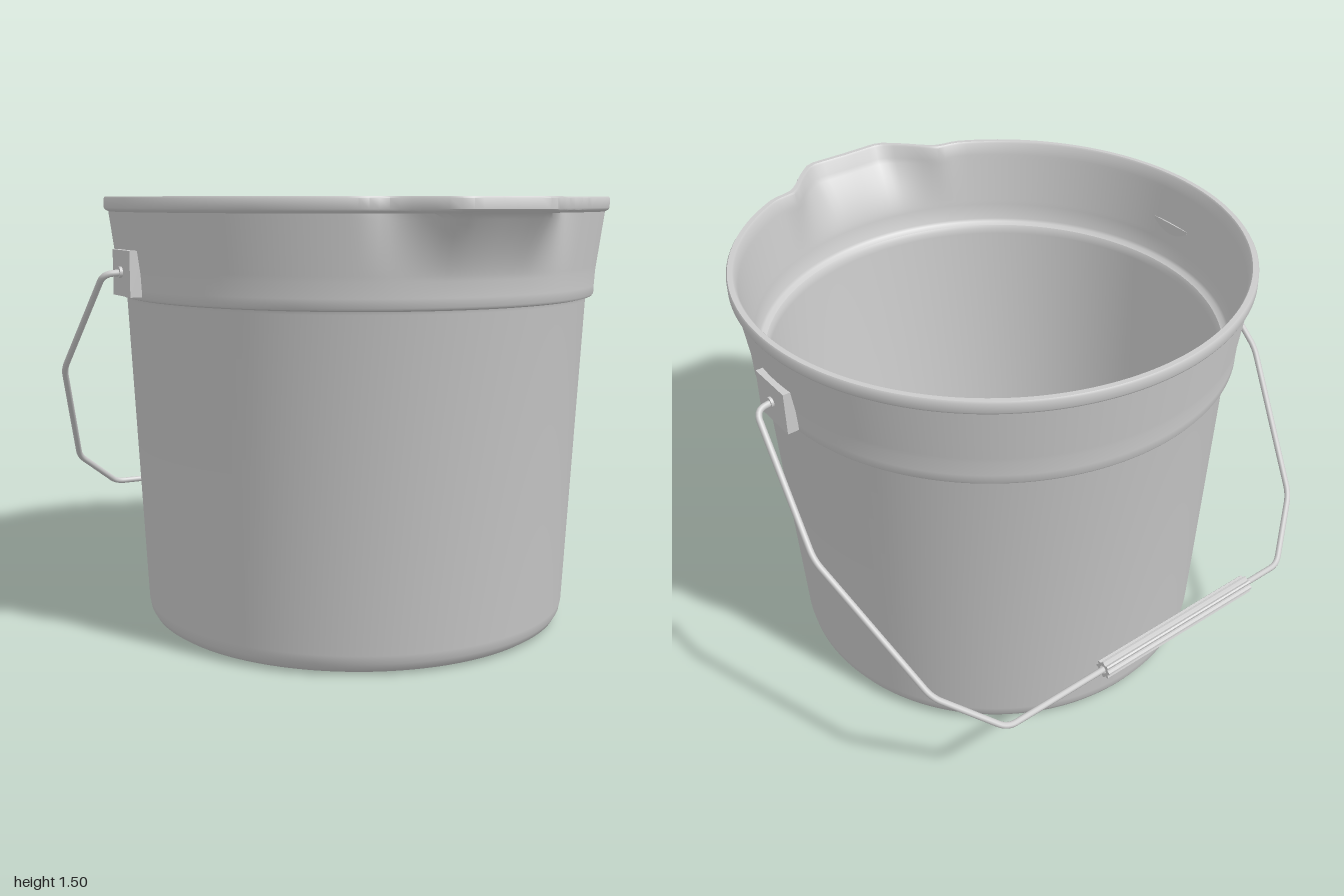
import * as THREE from 'three';
import { toCreasedNormals } from 'three/addons/utils/BufferGeometryUtils.js';

const material = new THREE.MeshStandardMaterial({ color: 0xcccccc });
const V3 = (x, y, z) => new THREE.Vector3(x, y, z);

function part(name, geometry, parent) {
  const mesh = new THREE.Mesh(geometry, material);
  mesh.name = name;
  parent.add(mesh);
  return mesh;
}

// Radial bulge of the pouring lip: [degrees from its middle, offset]
const LIP = [[0, 0.073], [4, 0.077], [8, 0.085], [10, 0.08], [14, 0.042], [18, 0.004],
  [20.5, -0.014], [22.5, -0.019], [24.5, -0.012], [27, 0]];

function lipOffset(degrees) {
  const a = Math.abs(degrees);
  for (let i = 1; i < LIP.length; i++) {
    const [a0, r0] = LIP[i - 1], [a1, r1] = LIP[i];
    if (a <= a1) return r0 + (r1 - r0) * (a - a0) / (a1 - a0);
  }
  return 0;
}

// Bucket shell: closed profile up the outside, over the rim and down the inside
function bucketGeometry() {
  const profile = [[0, 0], [0.69, 0], [0.715, 0.004], [0.736, 0.018], [0.749, 0.04], [0.755, 0.07],
    [0.81, 1.15], [0.813, 1.16], [0.832, 1.165], [0.837, 1.172], [0.838, 1.2]];
  const rows = 12;
  for (let i = 0; i <= rows; i++) profile.push([0.841 + 0.027 * i / rows, 1.25 + 0.2 * i / rows]);
  profile.push([0.88, 1.457], [0.883, 1.463], [0.883, 1.494], [0.879, 1.5], [0.862, 1.5], [0.857, 1.494]);
  for (let i = rows; i >= 0; i--) profile.push([0.823 + 0.027 * i / rows, 1.25 + 0.2 * i / rows]);
  profile.push([0.818, 1.19], [0.812, 1.18], [0.795, 1.172], [0.788, 1.16], [0.786, 1.14],
    [0.733, 0.1], [0.728, 0.07], [0.715, 0.045], [0.69, 0.03], [0, 0.03]);

  const lathe = new THREE.LatheGeometry(profile.map(p => new THREE.Vector2(...p)), 180, Math.PI);
  // Push the upper wall outward at the front to form the lip
  const pos = lathe.attributes.position;
  for (let i = 0; i < pos.count; i++) {
    const x = pos.getX(i), y = pos.getY(i), z = pos.getZ(i);
    if (y < 1.25) continue;
    const t = Math.min(1, (y - 1.25) / 0.21) ** 1.6;
    const r = Math.hypot(x, z);
    const k = 1 + t * lipOffset(THREE.MathUtils.radToDeg(Math.atan2(x, z))) / r;
    pos.setXYZ(i, x * k, y, z * k);
  }
  return toCreasedNormals(lathe, 0.6);
}

// Fluted hollow sleeve, lying along x
function gripGeometry(length) {
  const shape = new THREE.Shape();
  const sides = 32;
  for (let i = 0; i < sides; i++) {
    const a = i / sides * Math.PI * 2;
    const r = i % 4 < 2 ? 0.033 : 0.026;
    shape[i ? 'lineTo' : 'moveTo'](r * Math.cos(a), r * Math.sin(a));
  }
  const hole = new THREE.Path();
  hole.absarc(0, 0, 0.015, 0, Math.PI * 2, true);
  shape.holes.push(hole);
  const geometry = new THREE.ExtrudeGeometry(shape, { depth: length, bevelEnabled: false, curveSegments: 8 });
  return geometry.translate(0, 0, -length / 2).rotateY(Math.PI / 2);
}

// Wire path: straight runs with small rounded bends
function wirePath(points, bend) {
  const path = new THREE.CurvePath();
  let from = points[0];
  for (let i = 1; i < points.length - 1; i++) {
    const p = points[i];
    const toward = q => p.clone().add(q.clone().sub(p).setLength(Math.min(bend, p.distanceTo(q) * 0.45)));
    const a = toward(points[i - 1]), b = toward(points[i + 1]);
    path.add(new THREE.LineCurve3(from, a));
    path.add(new THREE.QuadraticBezierCurve3(a, p, b));
    from = b;
  }
  path.add(new THREE.LineCurve3(from, points[points.length - 1]));
  return path;
}

export function createModel() {
  const model = new THREE.Group();
  model.name = 'bucket';

  // Everything is built with the lip at +z, then turned and placed off centre
  const body = new THREE.Group();
  body.name = 'bucketAssembly';
  body.position.set(0.073, 0, 0.05);
  body.rotation.y = THREE.MathUtils.degToRad(22);
  model.add(body);

  part('shell', bucketGeometry(), body);

  // Square ears with a round boss where the wire enters
  for (const side of [-1, 1]) {
    const name = side > 0 ? 'left' : 'right';
    part(name + 'Ear', new THREE.BoxGeometry(0.045, 0.15, 0.172), body).position.set(side * 0.85, 1.252, 0);
    const boss = part(name + 'EarBoss', new THREE.CylinderGeometry(0.018, 0.018, 0.012, 20), body);
    boss.rotation.z = Math.PI / 2;
    boss.position.set(side * 0.876, 1.255, 0);
  }

  // Wire handle, folded down behind the bucket
  const half = [[0.85, 1.255, 0], [0.932, 1.25, -0.006], [0.972, 0.9, -0.358],
    [0.815, 0.505, -0.742], [0.625, 0.357, -0.884]];
  const points = [
    ...half.map(([x, y, z]) => V3(-x, y, z)),
    ...half.slice().reverse().map(p => V3(...p)),
  ];
  part('wireHandle', new THREE.TubeGeometry(wirePath(points, 0.035), 400, 0.011, 10), body);

  // Grip sleeve on the straight run of the wire
  part('grip', gripGeometry(0.68), body).position.set(-0.12, 0.357, -0.884);

  return model;
}
